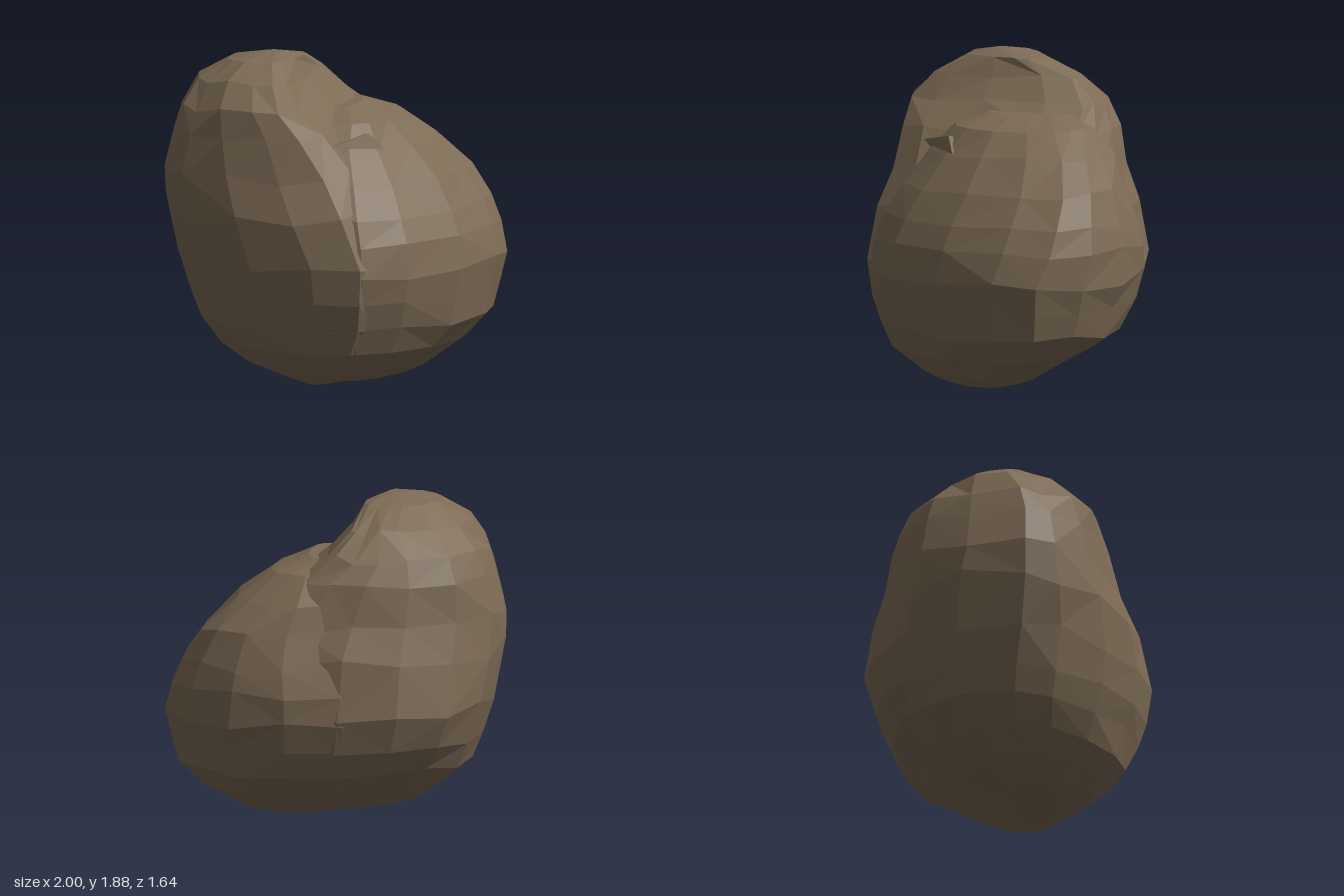
import * as THREE from 'three';
import { ConvexGeometry } from 'three/addons/geometries/ConvexGeometry.js';

const SEGMENTS = 16;

// Each row: y, then the x,z of the section's right-hand (-x), front, left-hand (+x) and back extremes
const TALL_LOBE = [
  [0.0, -0.2, 0.3, -0.15, 0.33, -0.1, 0.3, -0.15, 0.27],
  [0.04, -0.34, 0.2, -0.1, 0.42, 0.3, 0.2, -0.1, 0.0],
  [0.11, -0.52, 0.12, -0.08, 0.53, 0.45, 0.1, -0.1, -0.24],
  [0.22, -0.67, 0.07, -0.03, 0.67, 0.58, 0, -0.1, -0.45],
  [0.37, -0.78, 0.04, 0, 0.74, 0.68, -0.05, -0.12, -0.66],
  [0.52, -0.84, 0.05, 0, 0.79, 0.7, -0.1, -0.15, -0.755],
  [0.73, -0.91, 0.08, 0, 0.82, 0.7, -0.1, -0.17, -0.82],
  [1.02, -0.98, 0.1, -0.1, 0.75, 0.65, -0.2, -0.2, -0.77],
  [1.23, -1.0, 0.1, -0.18, 0.645, 0.55, -0.3, -0.25, -0.7],
  [1.45, -0.945, 0.1, -0.31, 0.575, 0.35, -0.33, -0.28, -0.66],
  [1.6, -0.89, 0.07, -0.42, 0.51, 0.14, -0.4, -0.28, -0.6],
  [1.74, -0.79, 0, -0.43, 0.38, -0.01, -0.36, -0.25, -0.44],
  [1.84, -0.62, 0, -0.4, 0.2, -0.14, -0.12, -0.34, -0.24],
  [1.88, -0.42, 0, -0.36, 0.06, -0.3, 0, -0.35, -0.06],
];
const LOW_LOBE = [
  [0.015, -0.05, 0.3, 0.05, 0.32, 0.28, 0.15, 0.1, 0.04],
  [0.04, -0.2, 0.2, 0.05, 0.4, 0.4, 0.12, 0.1, -0.03],
  [0.08, -0.3, 0.2, 0, 0.49, 0.52, 0.1, 0.1, -0.15],
  [0.22, -0.4, 0.1, 0, 0.66, 0.76, 0.03, 0.1, -0.44],
  [0.37, -0.45, 0.1, 0, 0.73, 0.92, -0.02, 0.12, -0.63],
  [0.52, -0.45, 0, 0, 0.78, 0.96, -0.02, 0.14, -0.71],
  [0.68, -0.45, 0, 0.01, 0.81, 1.0, -0.02, 0.13, -0.76],
  [0.85, -0.4, 0, 0.01, 0.78, 0.98, -0.1, 0.14, -0.75],
  [1.0, -0.45, 0, 0, 0.72, 0.93, -0.15, 0.17, -0.7],
  [1.17, -0.45, 0, 0, 0.61, 0.83, -0.2, 0.18, -0.64],
  [1.36, -0.45, 0, 0, 0.46, 0.62, -0.22, 0.18, -0.58],
  [1.5, -0.4, -0.05, 0.04, 0.32, 0.42, -0.2, 0.18, -0.46],
  [1.57, -0.3, -0.1, 0.04, 0.12, 0.2, -0.2, 0.08, -0.38],
];

function seeded(seed) {
  return () => (seed = (seed * 16807) % 2147483647) / 2147483647;
}

// Section outline: four superellipse quarters joining the extremes
function sectionPoint(row, i, powers) {
  const [y, ax, az, fx, fz, bx, bz, kx, kz] = row;
  const ends = [[bx, bz, fx, fz], [ax, az, fx, fz], [ax, az, kx, kz], [bx, bz, kx, kz]];
  const angle = (i / SEGMENTS) * Math.PI * 2;
  const quarter = Math.floor((i * 4) / SEGMENTS);
  const [sx, sz, ex, ez] = ends[quarter];
  const e = 2 / powers[quarter];
  const c = Math.abs(Math.cos(angle)) ** e;
  const s = Math.abs(Math.sin(angle)) ** e;
  return new THREE.Vector3(ex + (sx - ex) * c, y, sz + (ez - sz) * s);
}

// Faceted lobe skinned over its sections, with uneven facets
function lobeGeometry(rows, powers, seed) {
  const random = seeded(seed);
  const rough = (amount) => (random() - 0.5) * amount;
  const positions = [];
  const index = [];
  rows.forEach((row, r) => {
    const gap = Math.min(row[0] - (rows[r - 1] ?? row)[0], (rows[r + 1] ?? row)[0] - row[0]);
    for (let i = 0; i < SEGMENTS; i++) {
      const onExtreme = i % (SEGMENTS / 4) === 0;
      const p = sectionPoint(row, i, powers);
      const scale = onExtreme ? 1 : 1 + rough(0.03);
      const lift = onExtreme ? 0 : rough(gap * 0.4);
      const cx = (row[1] + row[5]) / 2;
      const cz = (row[4] + row[8]) / 2;
      positions.push(cx + (p.x - cx) * scale, p.y + lift, cz + (p.z - cz) * scale);
    }
  });
  for (let r = 0; r < rows.length - 1; r++) {
    for (let i = 0; i < SEGMENTS; i++) {
      const j = (i + 1) % SEGMENTS;
      const [a, b] = [r * SEGMENTS + i, r * SEGMENTS + j];
      const [c, d] = [a + SEGMENTS, b + SEGMENTS];
      if (random() < 0.5) index.push(a, c, b, b, c, d);
      else index.push(a, c, d, a, d, b);
    }
  }
  // Close the bottom and the top
  const top = (rows.length - 1) * SEGMENTS;
  for (let i = 1; i < SEGMENTS - 1; i++) {
    index.push(0, i, i + 1, top, top + i + 1, top + i);
  }
  const geometry = new THREE.BufferGeometry();
  geometry.setAttribute('position', new THREE.Float32BufferAttribute(positions, 3));
  geometry.setIndex(index);
  const flat = geometry.toNonIndexed();
  flat.computeVertexNormals();
  return flat;
}

export function createModel() {
  const stone = new THREE.MeshStandardMaterial({ color: 0x7d6b55, flatShading: true });
  stone.name = 'brown stone';
  const rock = new THREE.Group();
  rock.name = 'rock';

  const add = (name, geometry) => {
    const mesh = new THREE.Mesh(geometry, stone);
    mesh.name = name;
    rock.add(mesh);
  };

  // Powers per quarter: front +x, front -x, back -x, back +x
  add('tallLobe', lobeGeometry(TALL_LOBE, [1.3, 1.6, 2.2, 2], 11));
  add('lowLobe', lobeGeometry(LOW_LOBE, [1.55, 1.9, 1.6, 2], 29));

  // Small ledge in the hollow between the lobes
  const ledge = [[-0.1, 1.4, 0.48], [0.13, 1.45, 0.37], [0.22, 1.36, 0.36], [0, 1.36, 0.45], [0.05, 1.42, 0.25]];
  add('ledge', new ConvexGeometry(ledge.map((p) => new THREE.Vector3(...p))));
  return rock;
}
